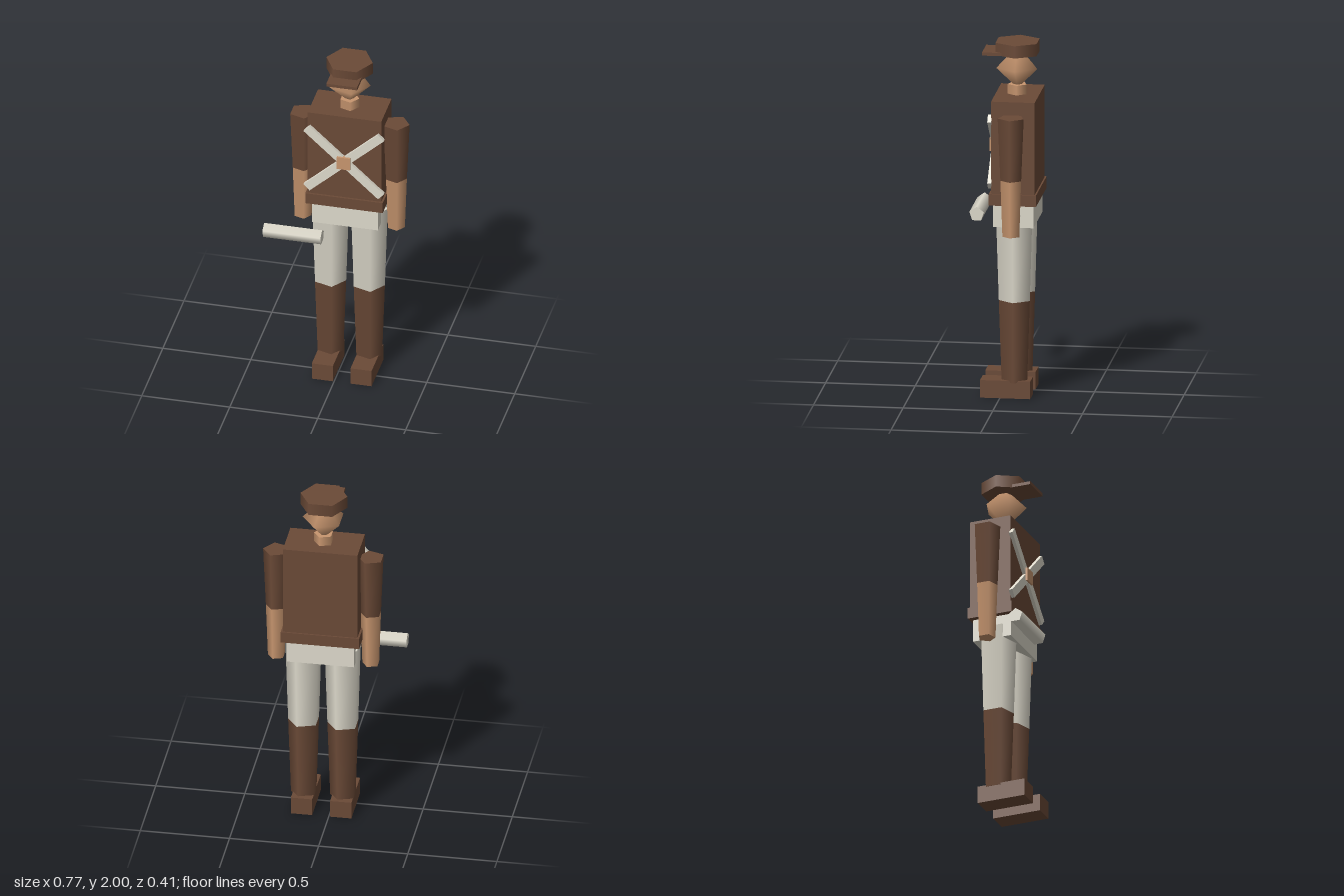
import * as THREE from 'three';

export function createModel() {
  const model = new THREE.Group();
  const material = (name, color) => {
    const m = new THREE.MeshStandardMaterial({ color });
    m.name = name;
    return m;
  };
  const brown = material('brown cloth', 0x6b4a37);
  const cream = material('cream cloth', 0xdedacc);
  const tan = material('tan skin', 0xc8966f);

  // Body axis
  const CX = 0.043, CZ = -0.077;

  const add = (name, geometry, mat, x, y, z) => {
    const mesh = new THREE.Mesh(geometry, mat);
    mesh.name = name;
    mesh.position.set(x, y, z);
    model.add(mesh);
    return mesh;
  };
  const box = (name, mat, w, y0, y1, z0, z1, x = CX) =>
    add(name, new THREE.BoxGeometry(w, y1 - y0, z1 - z0), mat, x, (y0 + y1) / 2, (z0 + z1) / 2);
  // Five-sided limb section with one corner towards +x
  const limb = (name, mat, rTop, rBottom, y0, y1, x) =>
    add(name, new THREE.CylinderGeometry(rTop, rBottom, y1 - y0, 5, 1, false, Math.PI / 2),
      mat, x, (y0 + y1) / 2, CZ);

  // Torso
  box('torso', brown, 0.418, 1.15, 1.70, -0.2, 0.043);
  box('belt', brown, 0.44, 1.11, 1.175, -0.209, 0.055);
  box('hips', cream, 0.375, 0.98, 1.11, -0.19, 0.036);

  // Neck, head and cap
  limb('neck', tan, 0.0555, 0.0555, 1.69, 1.755, CX);
  add('head', new THREE.SphereGeometry(0.12, 5, 2, Math.PI), tan, CX, 1.85, CZ);
  add('cap', new THREE.CylinderGeometry(0.132, 0.132, 0.07, 6, 1, false, Math.PI / 6),
    brown, CX, 1.965, CZ);
  box('capVisor', brown, 0.175, 1.93, 1.948, -0.02, 0.11);

  // Arms, legs and shoes
  for (const [side, s] of [['left', 1], ['right', -1]]) {
    const armX = CX + s * 0.265, legX = CX + s * 0.11;
    limb(side + 'Sleeve', brown, 0.0764, 0.061, 1.27, 1.625, armX);
    limb(side + 'Forearm', tan, 0.061, 0.0495, 0.95, 1.27, armX);
    limb(side + 'TrouserLeg', cream, 0.107, 0.091, 0.552, 1.055, legX);
    limb(side + 'Boot', brown, 0.091, 0.075, 0.09, 0.552, legX);
    box(side + 'Shoe', brown, 0.12, 0, 0.1, -0.17, 0.11, legX);

    // Crossed chest straps
    const strap = add(side + 'Strap', new THREE.BoxGeometry(0.572, 0.05, 0.022),
      cream, CX, 1.412, 0.051);
    strap.rotation.z = s * 0.738;
  }
  box('strapBuckle', tan, 0.076, 1.374, 1.45, 0.05, 0.074);

  // Rolled scroll in front of the right hand
  const scroll = add('scroll', new THREE.CylinderGeometry(0.0425, 0.0425, 0.33, 5, 1, false, Math.PI / 2),
    cream, -0.22, 0.976, 0.165);
  scroll.rotation.z = Math.PI / 2;

  return model;
}
